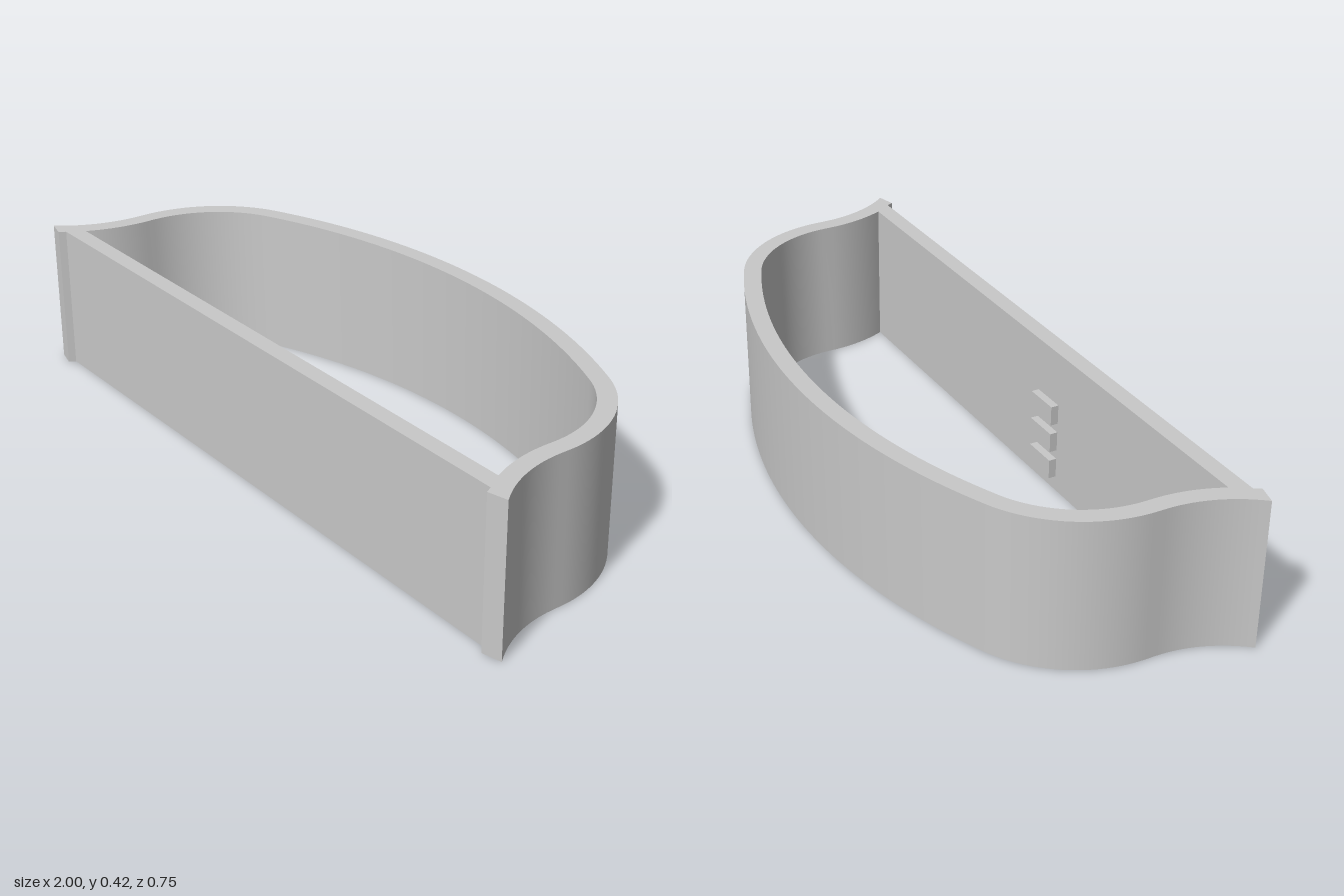
import * as THREE from 'three';
import { toCreasedNormals } from 'three/addons/utils/BufferGeometryUtils.js';

const HEIGHT = 0.417;
const WALL = 0.05;
const FRONT = 0.357;

// Points on an arc in plan (x, z); angle 0 is +x, negative angles turn to the back.
function arc(cx, cz, r, a0, a1, steps) {
  return Array.from({ length: steps + 1 }, (_, i) => {
    const a = a0 + (a1 - a0) * i / steps;
    return [cx + r * Math.cos(a), cz + r * Math.sin(a)];
  });
}

// Half of the curved wall, from the back centre to the front, moved inward by `inset`.
function halfWall(inset, zEnd) {
  const bend = -Math.PI / 2 + 0.427;
  const flareR = 0.36 + inset;
  const flareEnd = Math.PI - Math.asin((zEnd - 0.13) / flareR);
  return [
    ...arc(0, 1.324, 1.70 - inset, -Math.PI / 2, bend, 20),
    ...arc(0.555, 0.104, 0.36 - inset, bend, 0, 20).slice(1),
    ...arc(1.275, 0.13, flareR, Math.PI, flareEnd, 12),
  ];
}

// Mirror a half outline into a closed loop of plan points.
function mirrored(half) {
  const left = half.slice(1).reverse().map(([x, z]) => [-x, z]);
  return [...left, ...half].map(([x, z]) => new THREE.Vector2(x, -z));
}

export function createModel() {
  const group = new THREE.Group();
  const grey = new THREE.MeshStandardMaterial({ color: 0xc9c9c9 });
  grey.name = 'plain grey';

  // Closed ring: bowed back, rounded corners, flared ends and a flat front
  const outer = halfWall(0, 0.3625);
  outer.push([0.946, 0.376], [0.936, FRONT]);
  const shape = new THREE.Shape(mirrored(outer));
  // The hole runs the opposite way so that its walls face inward
  shape.holes.push(new THREE.Path(mirrored(halfWall(WALL, 0.309)).reverse()));
  const ring = new THREE.ExtrudeGeometry(shape, { depth: HEIGHT, bevelEnabled: false });
  ring.rotateX(-Math.PI / 2);
  const wall = new THREE.Mesh(toCreasedNormals(ring, 0.35), grey);
  wall.name = 'curvedWallRing';
  group.add(wall);

  // Three small blocks stacked on the inside of the front panel
  for (let i = 0; i < 3; i++) {
    const block = new THREE.Mesh(new THREE.BoxGeometry(0.102, 0.056, 0.024), grey);
    block.name = 'innerBlock' + (i + 1);
    block.position.set(-0.115, 0.071 + i * 0.083, 0.299);
    group.add(block);
  }
  return group;
}
